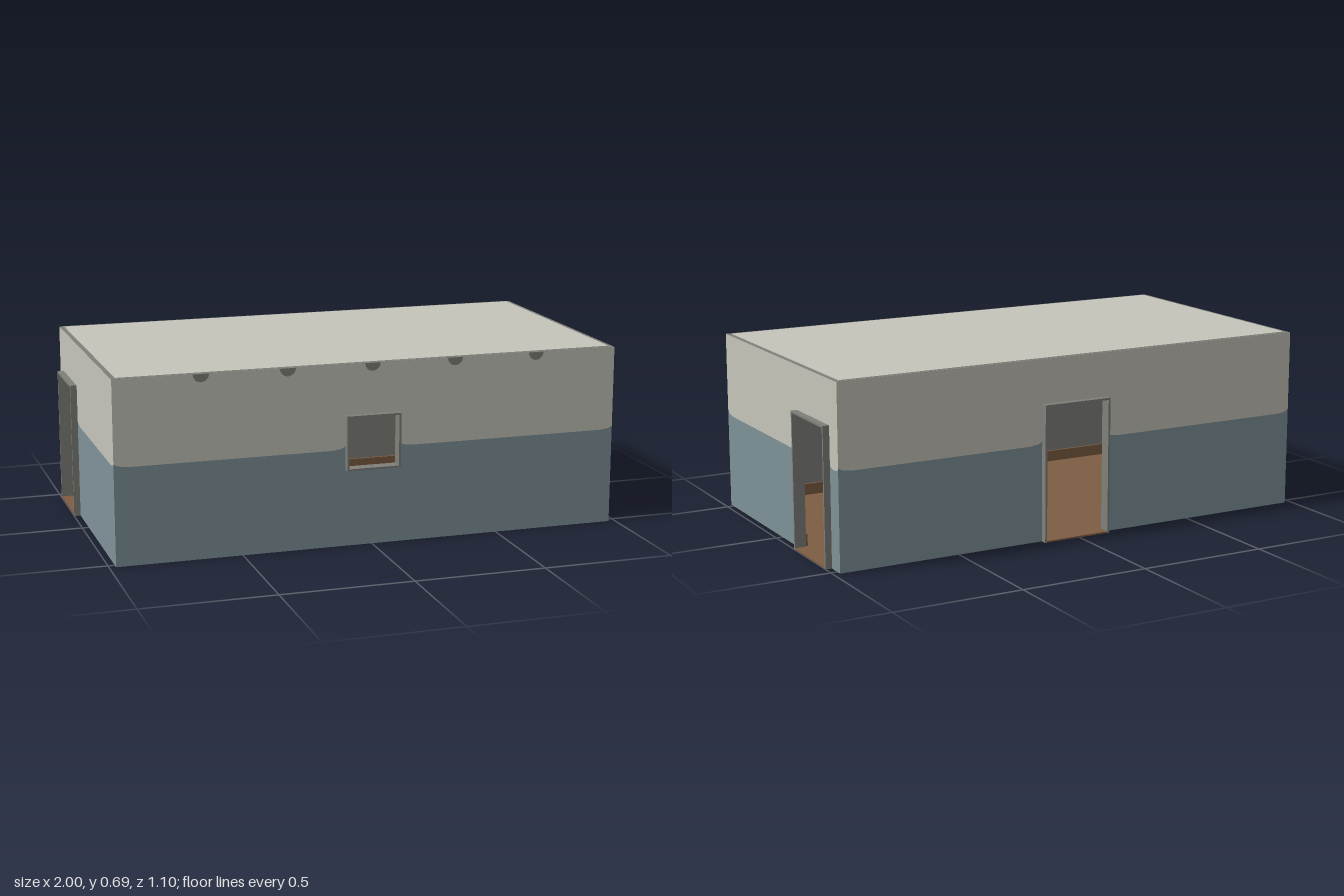
import * as THREE from 'three';

const mat = (name, color, side = THREE.FrontSide) => {
  const m = new THREE.MeshStandardMaterial({ color, side });
  m.name = name;
  return m;
};

export function createModel() {
  const cream = mat('cream paint', 0xc6c5bb);
  const blue = mat('blue paint', 0x7f9299);
  const grey = mat('grey plaster', 0x80807b);
  const brown = mat('brown wood', 0x7d5d43);

  const HX = 0.975, HZ = 0.525, H = 0.693, BAND = 0.37, T = 0.02, FLOOR = 0.006;
  const house = new THREE.Group();
  house.name = 'house';

  const add = (parent, name, geo, material, x = 0, y = 0, z = 0) => {
    const mesh = new THREE.Mesh(geo, material);
    mesh.name = name;
    mesh.position.set(x, y, z);
    parent.add(mesh);
    return mesh;
  };
  const box = (w, h, d) => new THREE.BoxGeometry(w, h, d);
  const poly = (pts) => new THREE.Shape(pts.map(([x, y]) => new THREE.Vector2(x, y)));
  const extrude = (shape, depth) =>
    new THREE.ExtrudeGeometry(shape, { depth, bevelEnabled: false });

  // top of the blue band between x0 and x1, lifting slightly at both ends
  const bandLine = (x0, x1) => {
    const r = Math.min(0.05, (x1 - x0) * 0.3);
    return [[x0, BAND + 0.014], [x0 + r * 0.3, BAND + 0.005], [x0 + r, BAND],
      [x1 - r, BAND], [x1 - r * 0.3, BAND + 0.005], [x1, BAND + 0.014]];
  };

  // one wall with an opening from a to b, y0 to y1; it faces local +z at distance d
  function wall(name, half, d, angle, [a, b, y0, y1]) {
    const g = new THREE.Group();
    g.name = name;
    g.rotation.y = angle;
    house.add(g);

    // painted outside, blue below and cream above
    const left = bandLine(-half, a), right = bandLine(b, half);
    const upper = poly([...left, [a, y1], [b, y1], ...right, [half, H], [-half, H]]);
    add(g, 'upperPaint', new THREE.ShapeGeometry(upper), cream, 0, 0, d);
    for (const [x0, x1, line] of [[-half, a, left], [b, half, right]]) {
      const lower = poly([[x0, 0], [x1, 0], ...[...line].reverse()]);
      add(g, 'lowerPaint', new THREE.ShapeGeometry(lower), blue, 0, 0, d);
    }
    if (y0 > 0) {
      const under = poly([[a, 0], [b, 0], [b, y0], [a, y0]]);
      add(g, 'lowerPaint', new THREE.ShapeGeometry(under), blue, 0, 0, d);
    }

    // plaster inside
    const e = half - 0.003;
    const top = H - 0.018;
    let inner;
    if (y0 > 0) {
      inner = poly([[-e, FLOOR], [e, FLOOR], [e, top], [-e, top]]);
      inner.holes.push(poly([[a, y0], [a, y1], [b, y1], [b, y0]]));
    } else {
      inner = poly([[-e, FLOOR], [a, FLOOR], [a, y1], [b, y1], [b, FLOOR],
        [e, FLOOR], [e, top], [-e, top]]);
    }
    add(g, 'plaster', extrude(inner, T - 0.002), grey, 0, 0, d - T);

    // thin frame sleeve standing proud of the wall
    const t = 0.008;
    let frame;
    if (y0 > 0) {
      frame = poly([[a, y0], [b, y0], [b, y1], [a, y1]]);
      frame.holes.push(poly([[a + t, y0 + t], [a + t, y1 - t], [b - t, y1 - t], [b - t, y0 + t]]));
    } else {
      frame = poly([[a, 0], [a + t, 0], [a + t, y1 - t], [b - t, y1 - t], [b - t, 0],
        [b, 0], [b, y1], [a, y1]]);
      add(g, 'doorSill', box(b - a - 2 * t, FLOOR, 0.03), brown, (a + b) / 2, FLOOR / 2, d + 0.009);
    }
    add(g, y0 > 0 ? 'windowFrame' : 'doorFrame', extrude(frame, T + 0.025), grey, 0, 0, d - T);

    // skirting boards, broken at a door
    const s = half - T;
    const runs = y0 > 0 ? [[-s, s]] : [[-s, a], [b, s]];
    for (const [x0, x1] of runs) {
      add(g, 'skirting', box(x1 - x0, 0.045, 0.01), brown,
        (x0 + x1) / 2, FLOOR + 0.0225, d - T - 0.005);
    }
    return g;
  }

  const front = wall('frontWall', HX, HZ, 0, [-0.105, 0.105, 0.293, 0.502]);
  wall('backWall', HX, HZ, Math.PI, [-0.15, 0.13, 0, 0.525]);
  wall('leftWall', HZ, HX, Math.PI / 2, [0.17, 0.455, 0, 0.525]);
  wall('rightWall', HZ, HX, -Math.PI / 2, [-0.455, -0.17, 0, 0.525]);

  // floor, ceiling slab with grey rim, and roof panel
  add(house, 'floor', box(2 * HX - 0.002, FLOOR, 2 * HZ - 0.002), brown, 0, FLOOR / 2, 0);
  add(house, 'ceiling', box(2 * HX - 0.002, 0.018, 2 * HZ - 0.002), grey, 0, H - 0.009, 0);
  add(house, 'roofPanel', box(2 * HX - 0.036, 0.004, 2 * HZ - 0.036), cream, 0, H, 0);

  // ceiling beams and their rounded marks on the front wall
  for (let i = -2; i <= 2; i++) {
    const x = i * 0.325;
    add(house, 'ceilingBeam', box(0.05, 0.045, 2 * (HZ - T)), brown, x, H - 0.0405, 0);
    add(front, 'beamMark', new THREE.CircleGeometry(0.03, 14, Math.PI, Math.PI), grey,
      x, H, HZ + 0.002);
  }
  return house;
}
